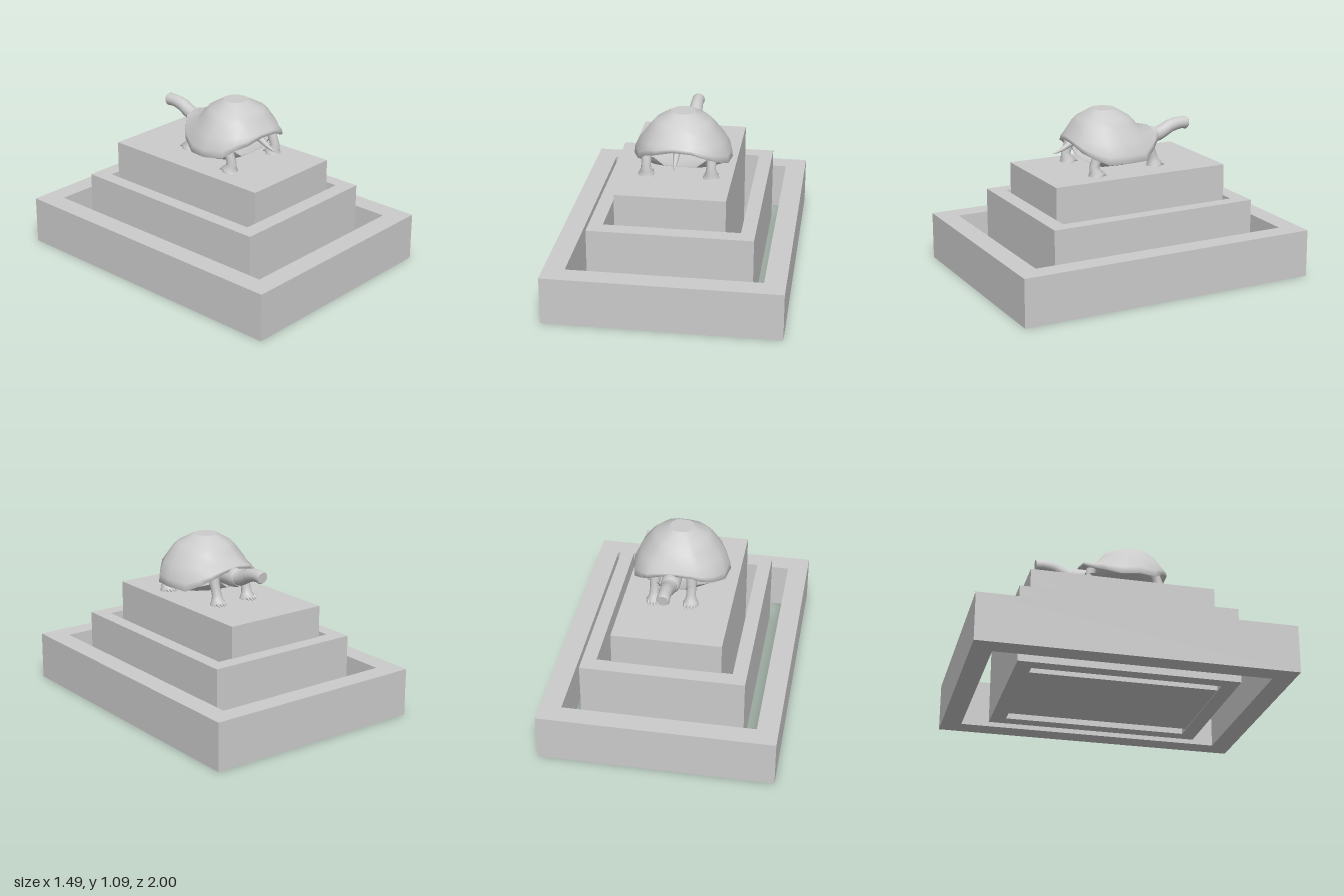
import * as THREE from 'three';

const mat = new THREE.MeshStandardMaterial({ color: 0xcccccc });
const sheet = new THREE.MeshStandardMaterial({ color: 0xcccccc, side: THREE.DoubleSide });

// Skin a surface over rings of Vector3; closed joins each ring end to end, caps fill the two ends
function loft(name, rings, { closed = true, capStart = false, capEnd = false } = {}) {
  const n = rings[0].length, pos = [], idx = [];
  rings.flat().forEach(p => pos.push(p.x, p.y, p.z));
  for (let i = 0; i < rings.length - 1; i++) {
    for (let j = 0; j < (closed ? n : n - 1); j++) {
      const k = (j + 1) % n, a = i * n + j, b = i * n + k, c = b + n, d = a + n;
      idx.push(a, b, d, b, c, d);
    }
  }
  const cap = (ring, flip) => {
    const start = pos.length / 3, mid = new THREE.Vector3();
    ring.forEach(p => { pos.push(p.x, p.y, p.z); mid.addScaledVector(p, 1 / n); });
    pos.push(mid.x, mid.y, mid.z);
    for (let j = 0; j < n; j++) {
      const a = start + j, b = start + (j + 1) % n;
      idx.push(...(flip ? [b, a, start + n] : [a, b, start + n]));
    }
  };
  if (capStart) cap(rings[0], true);
  if (capEnd) cap(rings[rings.length - 1], false);
  const g = new THREE.BufferGeometry();
  g.setAttribute('position', new THREE.Float32BufferAttribute(pos, 3));
  g.setIndex(idx);
  g.computeVertexNormals();
  const mesh = new THREE.Mesh(g, sheet);
  mesh.name = name;
  return mesh;
}

// Round limb through stations [x, y, z, radius]
function limb(name, stations, sides = 12) {
  const pts = stations.map(s => new THREE.Vector3(s[0], s[1], s[2]));
  const X = new THREE.Vector3(1, 0, 0);
  const rings = pts.map((p, i) => {
    const t = pts[Math.min(i + 1, pts.length - 1)].clone().sub(pts[Math.max(i - 1, 0)]).normalize();
    const N = t.clone().cross(X).normalize(), side = N.clone().cross(t).normalize();
    return Array.from({ length: sides }, (_, j) => {
      const a = j / sides * Math.PI * 2, r = stations[i][3];
      return p.clone().addScaledVector(side, r * Math.cos(a)).addScaledVector(N, r * Math.sin(a));
    });
  });
  return loft(name, rings, { capStart: true, capEnd: true });
}

// Rectangle path from its x and z limits, z flipped to suit the extrusion
function rect(P, [x0, x1, z0, z1]) {
  const p = new P();
  p.moveTo(x0, -z1); p.lineTo(x1, -z1); p.lineTo(x1, -z0); p.lineTo(x0, -z0); p.closePath();
  return p;
}

// Plinth tier: a block, or a frame when an inner rectangle is given
function tier(name, outer, inner, height) {
  const s = rect(THREE.Shape, outer);
  if (inner) s.holes.push(rect(THREE.Path, inner));
  const g = new THREE.ExtrudeGeometry(s, { depth: height, bevelEnabled: false });
  g.rotateX(-Math.PI / 2);
  const m = new THREE.Mesh(g, mat);
  m.name = name;
  return m;
}

// Domed shell: faceted rim outline raised through shrinking rings
function shell() {
  const rim = [ // x, z, y
    [.33, .09, .79], [.3, -.06, .785], [.24, -.14, .83], [.19, -.195, .87], [.1, -.22, .91], [0, -.23, .925],
    [-.1, -.215, .91], [-.15, -.18, .87], [-.22, -.11, .83], [-.28, 0, .785], [-.3, .12, .79], [-.255, .24, .80],
    [-.2, .3, .85], [-.13, .345, .875], [-.02, .365, .905], [.1, .37, .90], [.2, .345, .86], [.26, .28, .82], [.315, .21, .79],
  ];
  const ring = (cx, cz, s, yOf, backShift = 0) => rim.map(([x, z, y]) => {
    const dz = z - .07;
    return new THREE.Vector3(cx + (x - .015) * s, yOf(y, dz), cz + dz * s + (dz < 0 ? backShift * -dz : 0));
  });
  const front = dz => Math.max(0, -dz / .3);
  return loft('shell', [
    ring(.015, .07, .95, y => y + .004),
    ring(.015, .07, 1, y => y),
    ring(.015, .07, .985, y => y + .02 + (.91 - y) * .22),
    ring(.015, .09, .87, (y, dz) => .915 + (y - .79) * .13 + front(dz) * .005, .1),
    ring(.015, .105, .67, (y, dz) => 1.0 - front(dz) * .005),
    ring(.015, .105, .56, () => 1.035),
    ring(.015, .105, .25, () => 1.09),
  ], { capEnd: true });
}

// Belly plate bridging the two sides of the rim
function belly() {
  const sections = [ // z, half width, keel y, edge y
    [.25, .17, .765, .82], [.2, .28, .75, .79], [.1, .3, .75, .785],
    [-.02, .28, .76, .785], [-.12, .2, .78, .82], [-.2, .11, .81, .85],
  ];
  return loft('bellyPlate', sections.map(([z, w, yb, ye]) =>
    [[-1, ye], [-.6, yb], [0, yb - .003], [.6, yb], [1, ye]].map(([u, y]) => new THREE.Vector3(.015 + u * w, y, z))),
  { closed: false });
}

// Leg with a spread foot and small claws; toes point to -z
function leg(name, x, z, top, topZ) {
  const g = new THREE.Group();
  g.name = name;
  g.add(limb('foot', [[x, .705, z - .012, .052], [x, .718, z - .012, .05], [x, .738, z - .004, .037],
    [x, .77, z, .031], [x, .81, z + (topZ - z) * .5, .031], [x, top, topZ, .036]]));
  for (let i = -1.5; i <= 1.5; i++) {
    const cx = x + i * .02, cz = z - .052 + Math.abs(i) * .006;
    g.add(limb('claw', [[cx, .722, cz, .011], [cx, .718, cz - .015, .009], [cx, .708, cz - .028, .002]], 6));
  }
  return g;
}

export function createModel() {
  const model = new THREE.Group();
  // Stepped plinth
  model.add(
    tier('lowerFrame', [-.745, .745, -1, 1], [-.61, .61, -.87, .865], .31),
    tier('middleFrame', [-.51, .53, -.7, .7], [-.42, .44, -.6, .6], .5),
    tier('upperBlock', [-.35, .345, -.605, .597], null, .705),
  );
  // Tortoise
  const animal = new THREE.Group();
  animal.name = 'tortoise';
  animal.add(shell(), belly());
  const c = .033;
  animal.add(limb('collar', [[c, .87, -.12, .06], [c, .872, -.2, .062], [c, .874, -.25, .06], [c, .876, -.268, .05]], 16));
  animal.add(limb('neckAndHead', [[c, .873, -.23, .05], [c, .88, -.29, .046], [c, .9, -.335, .044], [c, .921, -.375, .043],
    [c, .932, -.42, .041], [c, .935, -.46, .039], [c, .933, -.495, .042], [c, .932, -.505, .036]], 16));
  animal.add(limb('tail', [[.003, .9, .27, .026], [.003, .88, .33, .022], [.003, .85, .385, .015], [.003, .833, .425, .008], [.003, .825, .46, .001]], 8));
  animal.add(
    leg('frontRightLeg', -.09, -.185, .88, -.155), leg('frontLeftLeg', .145, -.185, .88, -.155),
    leg('rearRightLeg', -.2, .268, .86, .235), leg('rearLeftLeg', .213, .268, .86, .235),
  );
  model.add(animal);
  return model;
}
